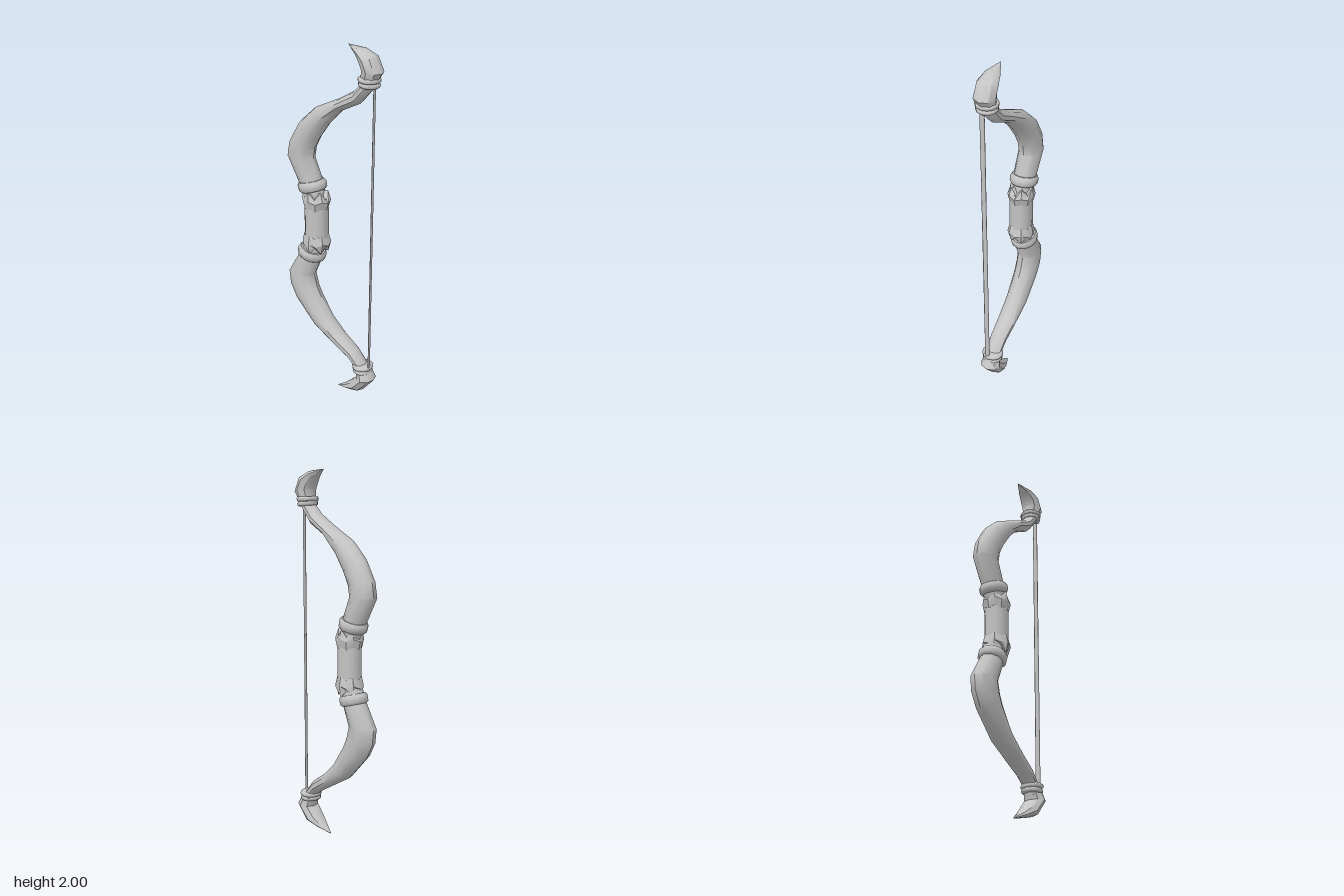
import * as THREE from 'three';
import { toCreasedNormals, mergeVertices } from 'three/addons/utils/BufferGeometryUtils.js';

// The bow lies in an upright plane turned slightly about the y axis.
const TURN = 0.245;

// Skin a tube over elliptical sections: [outer x, outer y, inner x, inner y, half depth, jag].
function loft(rows, sides = 10, crease = 0.75) {
  const pos = [], idx = [];
  const mid = rows.map(r => [(r[0] + r[2]) / 2, (r[1] + r[3]) / 2]);
  rows.forEach((r, i) => {
    const ax = (r[0] - r[2]) / 2, ay = (r[1] - r[3]) / 2;
    for (let j = 0; j < sides; j++) {
      const t = (j / sides) * Math.PI * 2, jag = (r[5] || 0) * (j % 2 ? 1 : -1);
      const u = mid[i][0] + ax * Math.cos(t), w = r[4] * Math.sin(t);
      pos.push(u - TURN * w, mid[i][1] + ay * Math.cos(t) + jag, TURN * u + 0.97 * w);
    }
  });
  const n = rows.length, last = n - 1;
  const centre = i => pos.push(mid[i][0], mid[i][1], TURN * mid[i][0]);
  centre(0); centre(last);
  const c0 = n * sides, c1 = c0 + 1;
  // choose the corner order that faces outward
  const flip = (rows[0][1] - rows[0][3]) * (mid[1][0] - mid[0][0])
    - (rows[0][0] - rows[0][2]) * (mid[1][1] - mid[0][1]) < 0;
  const tri = (a, b, c) => (flip ? idx.push(a, c, b) : idx.push(a, b, c));
  for (let j = 0; j < sides; j++) {
    const k = (j + 1) % sides;
    for (let i = 0; i < last; i++) {
      const a = i * sides + j, b = i * sides + k;
      tri(a, b, b + sides);
      tri(a, b + sides, a + sides);
    }
    tri(c0, k, j);
    tri(c1, last * sides + j, last * sides + k);
  }
  const g = new THREE.BufferGeometry();
  g.setAttribute('position', new THREE.Float32BufferAttribute(pos, 3));
  g.setIndex(idx);
  return toCreasedNormals(mergeVertices(g), crease);
}

// Rounded wrap around the bow: centre, half width, half depth, height, tilt
function wrap(x, y, half, depth, height, tilt) {
  const c = Math.cos(tilt), s = Math.sin(tilt);
  const profile = [[-0.5, 0.86], [-0.3, 0.98], [0.2, 1], [0.5, 0.87]];
  return loft(profile.map(([h, k]) => {
    const px = x - s * h * height, py = y + c * h * height, a = half * k;
    return [px - c * a, py - s * a, px + c * a, py + s * a, depth * k];
  }), 12, 0.9);
}

export function createModel() {
  const bow = new THREE.Group();
  bow.name = 'bow';
  const grey = new THREE.MeshStandardMaterial({ color: 0xc4c4c4 });
  grey.name = 'paleGrey';
  const add = (name, geometry) => {
    const m = new THREE.Mesh(geometry, grey);
    m.name = name;
    bow.add(m);
    return m;
  };

  // Curved limbs, from the grip to the nock
  add('upperLimb', loft([
    [-0.18, 1.12, -0.06, 1.12, 0.055],
    [-0.205, 1.20, -0.08, 1.23, 0.06],
    [-0.285, 1.35, -0.13, 1.35, 0.064],
    [-0.27, 1.435, -0.12, 1.41, 0.064],
    [-0.205, 1.55, -0.09, 1.47, 0.063],
    [-0.11, 1.64, -0.03, 1.56, 0.06],
    [0.04, 1.715, 0.05, 1.65, 0.054],
    [0.13, 1.77, 0.165, 1.71, 0.048],
    [0.18, 1.82, 0.24, 1.80, 0.046],
    [0.18, 1.86, 0.255, 1.85, 0.046],
  ]));
  add('lowerLimb', loft([
    [-0.18, 0.88, -0.06, 0.88, 0.055],
    [-0.21, 0.80, -0.085, 0.77, 0.06],
    [-0.288, 0.66, -0.13, 0.66, 0.065],
    [-0.28, 0.58, -0.11, 0.59, 0.065],
    [-0.24, 0.50, -0.085, 0.54, 0.063],
    [-0.11, 0.36, -0.015, 0.43, 0.059],
    [0.035, 0.275, 0.06, 0.355, 0.053],
    [0.12, 0.225, 0.15, 0.292, 0.048],
    [0.165, 0.19, 0.225, 0.20, 0.045],
    [0.17, 0.15, 0.25, 0.15, 0.045],
  ]));

  // Hooked tips
  add('upperTip', loft([
    [0.255, 1.83, 0.175, 1.84, 0.05],
    [0.286, 1.88, 0.18, 1.895, 0.06],
    [0.25, 1.96, 0.165, 1.925, 0.058],
    [0.18, 1.992, 0.145, 1.955, 0.042],
    [0.09, 2.0, 0.093, 1.996, 0.003],
  ], 8));
  add('lowerTip', loft([
    [0.25, 0.18, 0.165, 0.17, 0.048],
    [0.275, 0.13, 0.175, 0.125, 0.06],
    [0.205, 0.042, 0.125, 0.075, 0.055],
    [0.13, 0.02, 0.09, 0.042, 0.036],
    [0.04, 0.0, 0.04, 0.006, 0.004],
  ], 8));

  // Handle with flared, jagged cuffs
  add('grip', loft([0.86, 0.93, 1.07, 1.14].map(y => [-0.175, y, -0.045, y, 0.063]), 12));
  for (const [name, s] of [['upperCuff', 1], ['lowerCuff', -1]]) {
    add(name, loft([
      [-0.176, 1 + s * 0.08, -0.045, 1 + s * 0.08, 0.064, 0.008],
      [-0.188, 1 + s * 0.125, -0.032, 1 + s * 0.125, 0.074, 0.006],
      [-0.178, 1 + s * 0.16, -0.05, 1 + s * 0.16, 0.064, s * 0.02],
    ], 12, 0.5));
  }

  // Wraps beside the grip and at the nocks
  add('upperGripWrap', wrap(-0.137, 1.2, 0.08, 0.076, 0.055, 0.28));
  add('lowerGripWrap', wrap(-0.142, 0.803, 0.08, 0.076, 0.055, -0.28));
  for (const [name, x, y, tilt] of [['upperNockWrap', 0.215, 1.83, -0.04], ['lowerNockWrap', 0.2, 0.186, 0.02]]) {
    add(name + 'Outer', wrap(x, y + 0.012, 0.056, 0.061, 0.026, tilt));
    add(name + 'Inner', wrap(x, y - 0.012, 0.053, 0.058, 0.026, tilt - 0.06));
  }

  // Flat bowstring
  const string = add('bowstring', new THREE.CylinderGeometry(1, 1, 1.64, 6));
  string.scale.set(0.005, 1, 0.013);
  string.position.set(0.246, 1.005, 0.067);
  string.rotation.z = -0.003;
  return bow;
}
